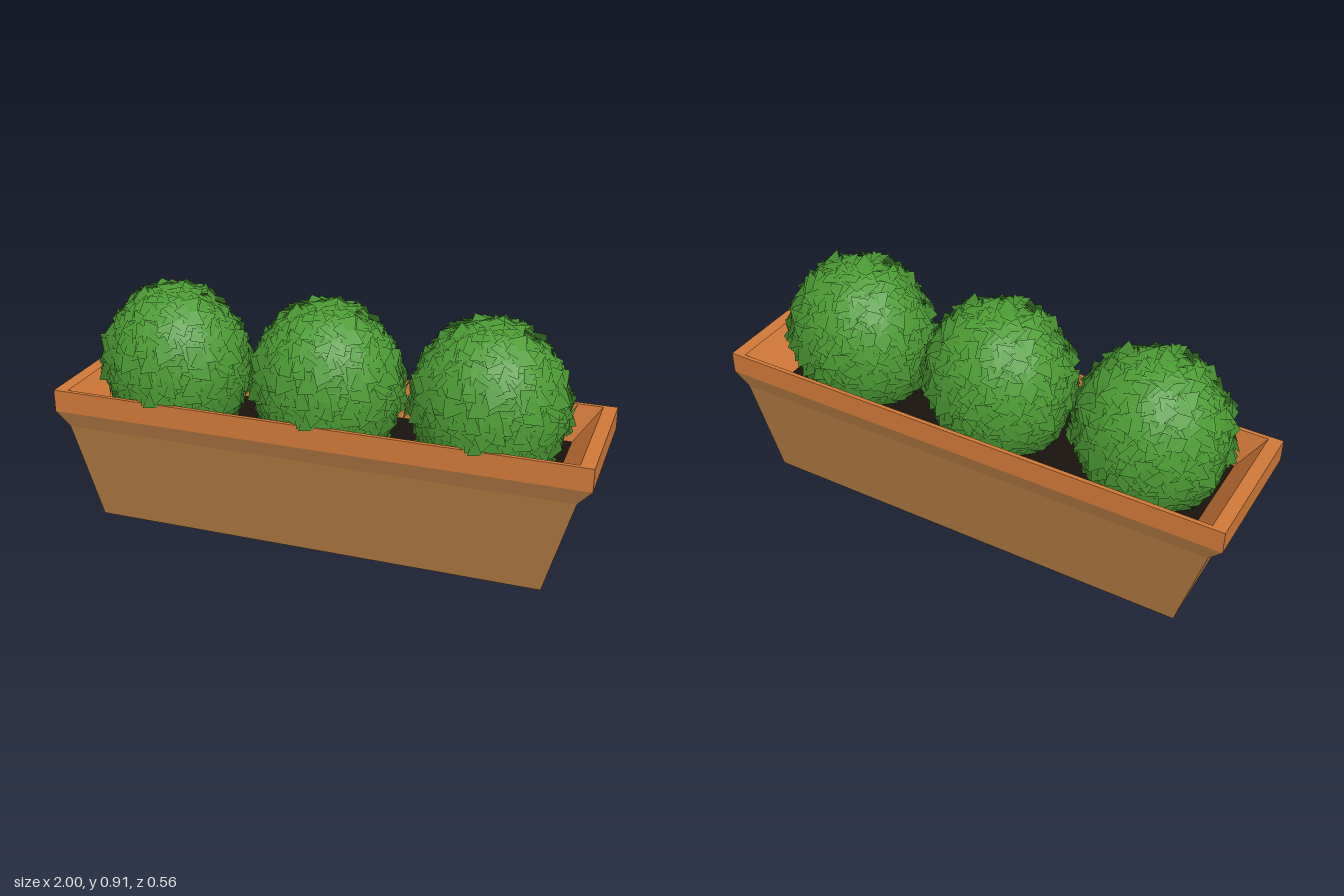
import * as THREE from 'three';

const CZ = -0.014; // the trough sits slightly behind the bushes' centre line

const paint = (color) => new THREE.MeshStandardMaterial({ color, roughness: 0.9, flatShading: true });

// Skin joining rectangular rings given as [halfWidth, y, halfDepth]
function rectLoft(rings, closeBottom = false) {
  const corners = ([w, y, d]) => [[1, 1], [1, -1], [-1, -1], [-1, 1]]
    .map(([sx, sz]) => new THREE.Vector3(sx * w, y, CZ + sz * d));
  const pts = [];
  for (let r = 0; r < rings.length - 1; r++) {
    const a = corners(rings[r]), b = corners(rings[r + 1]);
    for (let i = 0; i < 4; i++) {
      const j = (i + 1) % 4;
      pts.push(a[i], a[j], b[j], a[i], b[j], b[i]);
    }
  }
  if (closeBottom) {
    const c = corners(rings[0]);
    pts.push(c[0], c[2], c[1], c[0], c[3], c[2]);
  }
  const g = new THREE.BufferGeometry().setFromPoints(pts);
  g.computeVertexNormals();
  return g;
}

// Overlapping pointed leaves spread evenly over an ellipsoid, shaded like its surface
function leafGeometry(radii, count) {
  let seed = 7;
  const rand = () => (seed = (seed * 16807) % 2147483647) / 2147483647;
  const pts = [], normals = [];
  for (let i = 0; i < count; i++) {
    const y = 1 - (i + 0.5) / count * 1.6;
    const a = i * 2.39996, r = Math.sqrt(1 - y * y);
    const unit = new THREE.Vector3(r * Math.cos(a), y, r * Math.sin(a));
    const p = unit.clone().multiply(radii);
    const n = unit.clone().divide(radii).normalize();
    const t = new THREE.Vector3(rand() - 0.5, rand() - 0.5, rand() - 0.5).cross(n).normalize();
    const s = new THREE.Vector3().crossVectors(n, t);
    // Leaves inside the trough lie flatter
    const size = 0.07 + 0.03 * rand(), lift = (0.008 + 0.036 * rand()) * (y < -0.12 ? 0.4 : 1);
    const at = (u, v, h) => p.clone().addScaledVector(t, u * size)
      .addScaledVector(s, v * size).addScaledVector(n, h);
    const base = at(-0.5, 0, 0), tip = at(0.55, 0, lift);
    const left = at(0, 0.42, lift * 0.5), right = at(0, -0.42, lift * 0.5);
    pts.push(base, right, tip, base, tip, left);
    for (let k = 0; k < 6; k++) normals.push(n.x, n.y, n.z);
  }
  const g = new THREE.BufferGeometry().setFromPoints(pts);
  g.setAttribute('normal', new THREE.Float32BufferAttribute(normals, 3));
  return g;
}

export function createModel() {
  const model = new THREE.Group();
  model.name = 'planterBox';
  const add = (parent, name, geometry, material) => {
    const mesh = new THREE.Mesh(geometry, material);
    mesh.name = name;
    parent.add(mesh);
    return mesh;
  };

  // Tapered trough with flared shoulder
  add(model, 'trough', rectLoft([
    [0.848, 0, 0.229], [0.95, 0.365, 0.257], [1, 0.423, 0.27],
  ], true), paint(0xab7540));

  // Upright rim, its top lip and the sloping inner walls
  add(model, 'rim', rectLoft([
    [1, 0.423, 0.27], [1, 0.508, 0.27], [0.95, 0.508, 0.254], [0.85, 0.365, 0.219],
  ]), paint(0xd07838));

  // Soil
  const soil = add(model, 'soil', new THREE.PlaneGeometry(1.705, 0.44), paint(0x18130e));
  soil.rotation.x = -Math.PI / 2;
  soil.position.set(0, 0.37, CZ);

  // Three round bushes, each a core covered with leaves
  const radii = new THREE.Vector3(0.262, 0.3, 0.234);
  const core = new THREE.SphereGeometry(0.985, 28, 18).scale(radii.x, radii.y, radii.z);
  const leaves = leafGeometry(radii, 880);
  const green = new THREE.MeshStandardMaterial({ color: 0x4c9a34, roughness: 0.9, side: THREE.DoubleSide });
  for (const x of [-0.61, -0.01, 0.59]) {
    const bush = new THREE.Group();
    bush.name = 'bush';
    bush.position.set(x, 0.56, 0.004);
    add(bush, 'bushCore', core, green);
    add(bush, 'leaves', leaves, green);
    model.add(bush);
  }
  return model;
}
